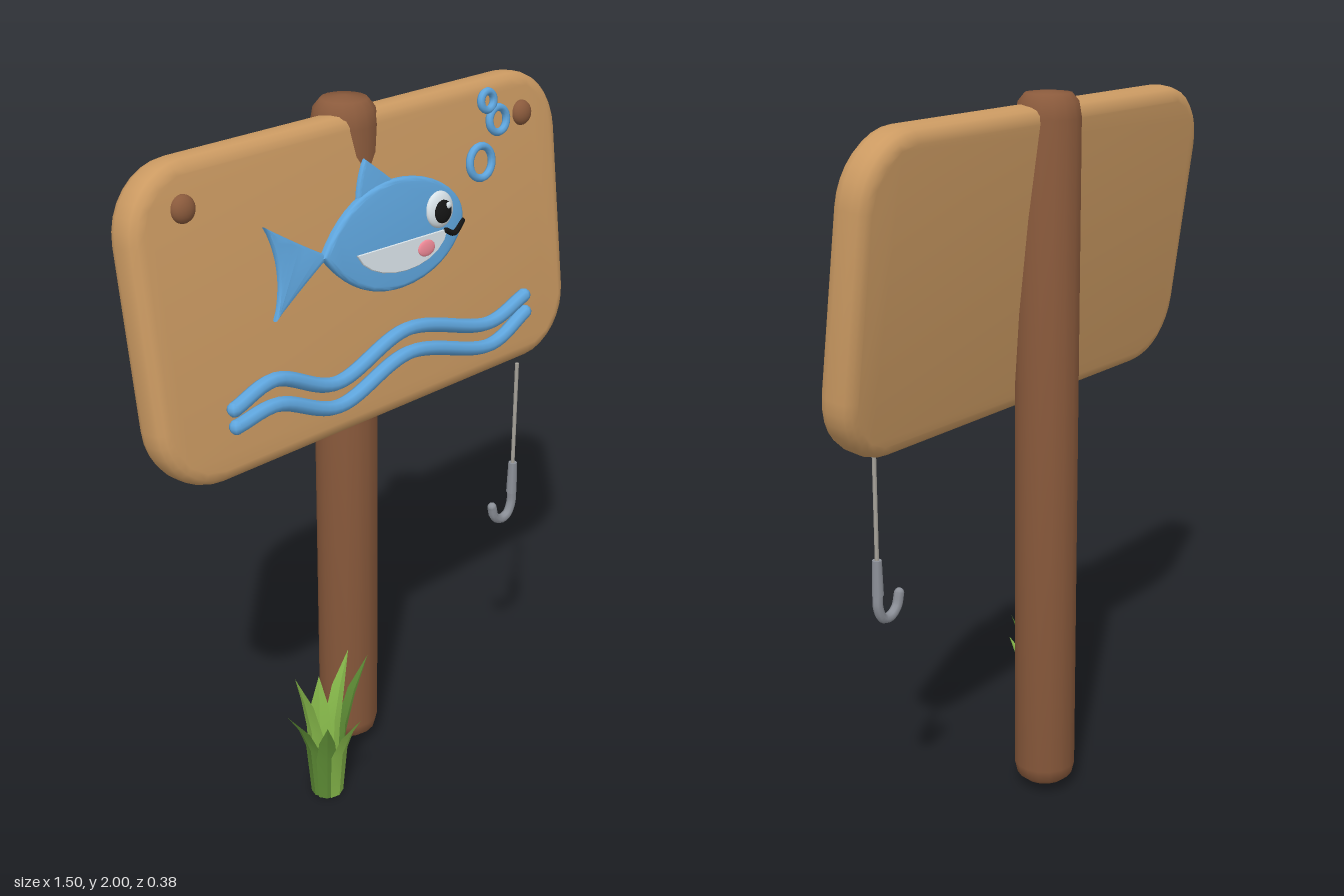
import * as THREE from 'three';
import { toCreasedNormals } from 'three/addons/utils/BufferGeometryUtils.js';

const TILT = -0.132;      // board leans back
const FACE = 0.0525;      // front face of the board, in board space

const mat = (color, extra = {}) => new THREE.MeshStandardMaterial({ color, ...extra });
const WOOD = mat(0xcb9a62), BARK = mat(0x8a5a3c), BLUE = mat(0x5fa6de), STEEL = mat(0x8c9098),
  WHITE = mat(0xd8e2e8), BLACK = mat(0x141414), PINK = mat(0xf08a98), CORD = mat(0xa8a49c),
  LEAF = mat(0x86b84a, { side: THREE.DoubleSide }), DARK_LEAF = mat(0x5c8a34, { side: THREE.DoubleSide });

function add(parent, name, geometry, material, x = 0, y = 0, z = 0) {
  const mesh = new THREE.Mesh(geometry, material);
  mesh.name = name;
  mesh.position.set(x, y, z);
  parent.add(mesh);
  return mesh;
}

// Height above the ground to height in board space
const up = (y) => (y - 1.563) / Math.cos(TILT);

function plate(shape, depth, bevel, bevelSegments = 2, curveSegments = 10) {
  const g = new THREE.ExtrudeGeometry(shape, {
    depth, bevelThickness: bevel, bevelSize: bevel, bevelOffset: -bevel, bevelSegments, curveSegments,
  });
  return toCreasedNormals(g, 0.75);
}

// Round-ended tube through a few points
function cord(parent, name, points, radius, material, steps = 40, sides = 8) {
  const group = new THREE.Group();
  group.name = name;
  const pts = points.map((p) => new THREE.Vector3(...p));
  const curve = new THREE.CatmullRomCurve3(pts);
  add(group, name + 'Tube', new THREE.TubeGeometry(curve, steps, radius, sides), material);
  for (const p of [pts[0], pts[pts.length - 1]])
    add(group, name + 'End', new THREE.SphereGeometry(radius, sides, 6), material, p.x, p.y, p.z);
  parent.add(group);
}

function dome(parent, name, x, y, z, rx, ry, rz, material) {
  add(parent, name, new THREE.SphereGeometry(1, 18, 12), material, x, y, z).scale.set(rx, ry, rz);
}

function roundedRect(w, h, r) {
  const s = new THREE.Shape();
  const x = w / 2, y = h / 2, q = Math.PI / 2;
  s.absarc(x - r, y - r, r, 0, q);
  s.absarc(-x + r, y - r, r, q, 2 * q);
  s.absarc(-x + r, -y + r, r, 2 * q, 3 * q);
  s.absarc(x - r, -y + r, r, 3 * q, 4 * q);
  s.closePath();
  return s;
}

function makeFish() {
  const fish = new THREE.Group();
  fish.name = 'fish';
  fish.position.z = FACE - 0.004;

  const body = new THREE.Shape();
  body.moveTo(-0.196, up(1.64));
  body.bezierCurveTo(-0.12, up(1.75), -0.02, up(1.785), 0.07, up(1.785));
  body.bezierCurveTo(0.21, up(1.785), 0.317, up(1.71), 0.317, up(1.645));
  body.bezierCurveTo(0.317, up(1.57), 0.21, up(1.495), 0.07, up(1.495));
  body.bezierCurveTo(-0.02, up(1.495), -0.12, up(1.53), -0.196, up(1.64));
  add(fish, 'fishBody', plate(body, 0.006, 0.012, 3), BLUE, 0, 0, 0.012);

  const tail = new THREE.Shape();
  tail.moveTo(-0.17, up(1.64));
  tail.quadraticCurveTo(-0.26, up(1.69), -0.367, up(1.76));
  tail.quadraticCurveTo(-0.31, up(1.64), -0.367, up(1.52));
  tail.quadraticCurveTo(-0.26, up(1.59), -0.17, up(1.64));
  add(fish, 'tailFin', plate(tail, 0.004, 0.009), BLUE, 0, 0, 0.009);

  const fin = new THREE.Shape();
  fin.moveTo(-0.055, up(1.75));
  fin.quadraticCurveTo(-0.045, up(1.81), -0.015, up(1.855));
  fin.quadraticCurveTo(0.03, up(1.82), 0.085, up(1.775));
  fin.lineTo(0.085, up(1.74));
  add(fish, 'dorsalFin', plate(fin, 0.004, 0.008), BLUE, 0, 0, 0.008);

  const belly = new THREE.Shape();
  belly.moveTo(-0.09, up(1.622));
  belly.bezierCurveTo(-0.05, up(1.52), 0.21, up(1.51), 0.245, up(1.615));
  belly.closePath();
  add(fish, 'belly', plate(belly, 0.003, 0.002, 1), WHITE, 0, 0, 0.03);

  dome(fish, 'cheek', 0.158, up(1.583), 0.035, 0.032, 0.022, 0.006, PINK);
  dome(fish, 'eye', 0.222, up(1.672), 0.03, 0.05, 0.05, 0.018, WHITE);
  dome(fish, 'pupil', 0.222, up(1.668), 0.042, 0.032, 0.032, 0.013, BLACK);
  dome(fish, 'eyeGlint', 0.236, up(1.682), 0.052, 0.009, 0.009, 0.005, WHITE);
  cord(fish, 'mouth', [[0.238, up(1.612), 0.034], [0.268, up(1.598), 0.034], [0.308, up(1.622), 0.028]],
    0.008, BLACK, 12);
  return fish;
}

function makeBoard() {
  const board = new THREE.Group();
  board.name = 'signBoard';
  board.position.set(0, 1.555, -0.035);
  board.rotation.x = TILT;

  add(board, 'plank', plate(roundedRect(1.5, 0.825, 0.18), 0.035, 0.035, 3, 4), WOOD, 0, 0, -0.0175);
  board.add(makeFish());

  for (const side of [-1, 1])
    dome(board, 'peg', side * 0.595, up(1.857), FACE, 0.035, 0.035, 0.024, BARK);

  for (const [x, y, r] of [[0.413, 1.757, 0.044], [0.492, 1.857, 0.034], [0.455, 1.915, 0.025]])
    add(board, 'bubble', new THREE.TorusGeometry(r, 0.011, 8, 20), BLUE, x, up(y), FACE + 0.008);

  // Two water ripples
  const ripple = [[-0.535, 0], [-0.4, 0.036], [-0.2, -0.035], [0.07, 0.036], [0.39, -0.035], [0.54, 0.005]];
  for (const y of [1.345, 1.299])
    cord(board, 'wave', ripple.map(([x, dy]) => [x, up(y + (y < 1.3 ? 1.5 : 1) * dy * (y < 1.3 && dy > 0 ? 0.3 : 1)),
      FACE + 0.02]), 0.02, BLUE, 48);
  return board;
}

function makeHook() {
  const hook = new THREE.Group();
  hook.name = 'fishingHook';
  hook.position.set(0.513, 0, 0.075);
  add(hook, 'line', new THREE.CylinderGeometry(0.006, 0.006, 0.34, 6), CORD, 0, 0.98, 0);
  add(hook, 'shank', new THREE.CylinderGeometry(0.013, 0.016, 0.1, 8), STEEL, 0, 0.775, 0);
  cord(hook, 'bend', [[0, 0.74, 0], [0, 0.69, 0], [-0.018, 0.655, 0], [-0.048, 0.65, 0],
    [-0.075, 0.67, 0], [-0.086, 0.705, 0]], 0.014, STEEL, 20);
  return hook;
}

// Blade folded along its middle: upright foot, then bent outward to a point
function bladeGeometry(base, tip, width) {
  const out = new THREE.Vector3(tip[0] - base[0], 0, tip[2] - base[1]).normalize();
  const across = new THREE.Vector3(out.z, 0, -out.x);
  const rows = [[0, 0, 0.8], [0.5, 0.12, 1], [0.75, 0.45, 0.75], [1, 1, 0]];
  const pos = [], index = [];
  rows.forEach(([h, lean, w], i) => {
    for (const s of [-1, 0, 1]) {
      const p = new THREE.Vector3(base[0] + (tip[0] - base[0]) * lean, tip[1] * h, base[1] + (tip[2] - base[1]) * lean);
      p.addScaledVector(across, s * w * width / 2).addScaledVector(out, s === 0 ? w * 0.012 : 0);
      pos.push(p.x, p.y, p.z);
    }
    if (i) for (const c of [0, 1]) {
      const a = (i - 1) * 3 + c, b = a + 3;
      index.push(a, a + 1, b, a + 1, b + 1, b);
    }
  });
  const g = new THREE.BufferGeometry();
  g.setAttribute('position', new THREE.Float32BufferAttribute(pos, 3));
  g.setIndex(index);
  return toCreasedNormals(g, 0.3);
}

function makeGrass() {
  const grass = new THREE.Group();
  grass.name = 'grassTuft';
  const blades = [ // foot x, z / tip / width / material
    [[-0.27, 0.05], [-0.385, 0.335, 0.06], 0.06, DARK_LEAF],
    [[-0.25, 0.03], [-0.33, 0.425, 0.03], 0.07, LEAF],
    [[-0.23, 0.09], [-0.22, 0.31, 0.185], 0.07, LEAF],
    [[-0.205, 0.07], [-0.115, 0.44, 0.1], 0.06, DARK_LEAF],
    [[-0.21, 0.04], [-0.125, 0.43, 0.03], 0.06, LEAF],
    [[-0.23, 0.02], [-0.2, 0.35, -0.015], 0.07, LEAF],
    [[-0.26, 0.08], [-0.29, 0.28, 0.12], 0.06, DARK_LEAF],
  ];
  for (const [base, tip, w, m] of blades) add(grass, 'grassBlade', bladeGeometry(base, tip, w), m);
  return grass;
}

export function createModel() {
  const model = new THREE.Group();
  model.name = 'fishingSign';

  // Post with rounded ends
  const profile = [[0, 0.025], [0.06, 0.028], [0.08, 0.045], [0.088, 0.08], [0.088, 1.93], [0.081, 1.97],
    [0.062, 1.993], [0, 2]].map(([r, y]) => new THREE.Vector2(r, y));
  add(model, 'post', toCreasedNormals(new THREE.LatheGeometry(profile, 16), 0.8), BARK, 0, 0, -0.104);

  model.add(makeBoard(), makeHook(), makeGrass());
  return model;
}
